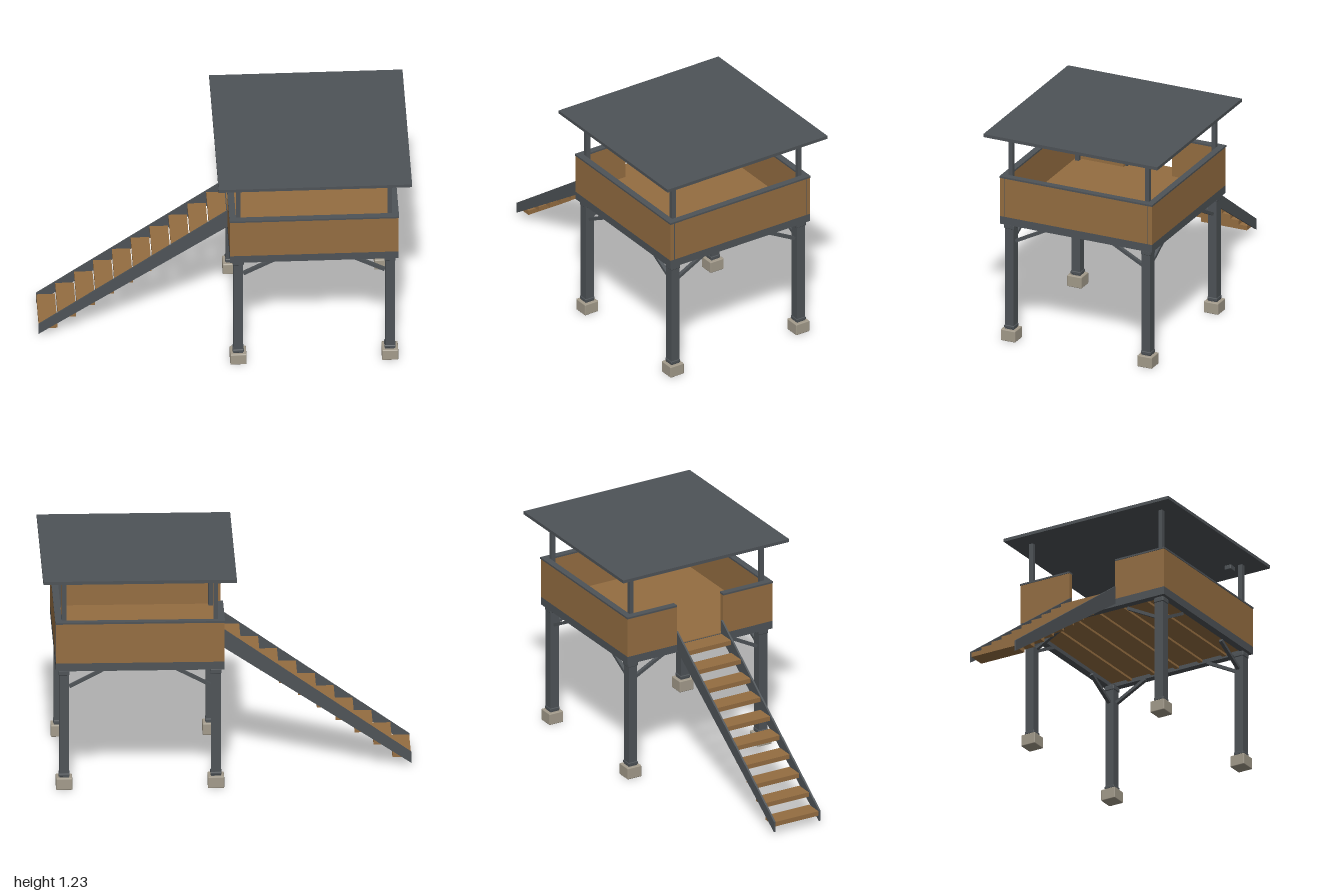
import * as THREE from 'three';
import { RoundedBoxGeometry } from 'three/addons/geometries/RoundedBoxGeometry.js';

export function createModel() {
  const model = new THREE.Group();
  model.name = 'lookoutPlatform';

  const mat = (name, color) => {
    const m = new THREE.MeshStandardMaterial({ color });
    m.name = name;
    return m;
  };
  const steel = mat('darkGrey', 0x4e5357);
  const wood = mat('brownWood', 0x946d41);
  const concrete = mat('concrete', 0xa39b8b);

  const add = (name, geometry, material, x, y, z, parent = model) => {
    const mesh = new THREE.Mesh(geometry, material);
    mesh.name = name;
    mesh.position.set(x, y, z);
    parent.add(mesh);
    return mesh;
  };
  // Box given by its lower and upper limits on each axis
  const box = (name, material, x0, x1, y0, y1, z0, z1, parent) =>
    add(name, new THREE.BoxGeometry(x1 - x0, y1 - y0, z1 - z0), material,
      (x0 + x1) / 2, (y0 + y1) / 2, (z0 + z1) / 2, parent);

  const cx = 0.475;      // platform centre
  const half = 0.455;    // platform half width
  const postOff = 0.41;  // post offset from the centre
  const x0 = cx - half, x1 = cx + half;

  // Corner legs: footing, post, collars, two knee braces and a roof post
  for (const sx of [-1, 1]) for (const sz of [-1, 1]) {
    const leg = new THREE.Group();
    leg.name = 'cornerLeg';
    leg.position.set(cx + sx * postOff, 0, sz * postOff);
    model.add(leg);
    add('footing', new RoundedBoxGeometry(0.088, 0.066, 0.088, 1, 0.005), concrete, 0, 0.033, 0, leg);
    box('post', steel, -0.026, 0.026, 0.06, 0.69, -0.026, 0.026, leg);
    add('lowerCollar', new RoundedBoxGeometry(0.06, 0.018, 0.06, 1, 0.004), steel, 0, 0.08, 0, leg);
    add('upperCollar', new RoundedBoxGeometry(0.06, 0.025, 0.06, 1, 0.004), steel, 0, 0.668, 0, leg);
    box('roofPost', steel, -0.012, 0.012, 0.72, 1.21, -0.012, 0.012, leg);

    const a = Math.atan2(0.1, 0.19);
    const braceGeo = new THREE.BoxGeometry(0.205, 0.017, 0.02);
    const bx = add('kneeBrace', braceGeo, steel, -sx * 0.12, 0.63, 0, leg);
    bx.rotation.z = -sx * a;
    const bz = add('kneeBrace', braceGeo, steel, 0, 0.63, -sz * 0.12, leg);
    bz.rotation.set(0, sz * Math.PI / 2, -a * 1);
    bz.rotation.order = 'YXZ';
    // Point the brace inward and upward along z
    bz.rotation.z = a;
  }

  // Perimeter beams
  const t = 0.04;
  for (const s of [-1, 1]) {
    const zo = s * (half - t / 2);
    box('sideBeam', steel, x0, x1, 0.685, 0.73, zo - t / 2, zo + t / 2);
    const xo = cx + s * (half - t / 2);
    box('endBeam', steel, xo - t / 2, xo + t / 2, 0.685, 0.73, -half + t, half - t);
  }

  // Floor with joists below
  box('floor', wood, x0 + 0.005, x1 - 0.005, 0.708, 0.734, -half + 0.005, half - 0.005);
  for (let i = 0; i < 5; i++) {
    const z = -0.3 + i * 0.15;
    box('joist', wood, x0 + t, x1 - t, 0.695, 0.71, z - 0.012, z + 0.012);
  }

  // Parapet panels with cap rails; the entry side has an opening
  const w = 0.024, top = 0.955, gate = 0.145;
  for (const s of [-1, 1]) {
    const zo = s * (half - w / 2);
    box('sideWall', wood, x0, x1, 0.73, top, zo - w / 2, zo + w / 2);
    const zc = s * (half - 0.015);
    box('sideCap', steel, x0 - 0.003, x1 + 0.003, top, 0.965, zc - 0.018, zc + 0.018);
    const za = s > 0 ? gate : -half + w, zb = s > 0 ? half - w : -gate;
    box('entryWall', wood, x0, x0 + w, 0.73, top, za, zb);
    const ca = s > 0 ? gate : -half + 0.033, cb = s > 0 ? half - 0.033 : -gate;
    box('entryCap', steel, x0 - 0.003, x0 + 0.033, top, 0.965, ca, cb);
    // Narrow dark joints at the corners of the far wall
    box('cornerJoint', steel, x1 - 0.004, x1 + 0.001, 0.73, top, s * 0.43 - 0.002, s * 0.43 + 0.002);
  }
  box('farWall', wood, x1 - w, x1, 0.73, top, -half + w, half - w);
  box('farCap', steel, x1 - 0.033, x1 + 0.003, top, 0.965, -half + 0.033, half - 0.033);

  // Flat roof
  box('roof', steel, -0.045, 1.0, 1.208, 1.226, -0.522, 0.522);

  // Small lamp box under the roof
  add('lampBox', new RoundedBoxGeometry(0.05, 0.027, 0.04, 1, 0.004), steel, 0.84, 1.181, 0.366);

  // Stair stringers
  const side = new THREE.Shape([
    new THREE.Vector2(-1, 0.018), new THREE.Vector2(x0 + 0.004, 0.703),
    new THREE.Vector2(x0 + 0.004, 0.808), new THREE.Vector2(-1, 0.08),
  ]);
  const sideGeo = new THREE.ExtrudeGeometry(side, { depth: 0.01, bevelEnabled: false });
  for (const z of [-0.146, 0.136]) add('stairStringer', sideGeo, steel, 0, 0, z);

  // Stair treads
  for (let i = 0; i < 10; i++) {
    const x = -0.998 + i * 0.102, y = 0.0625 + i * 0.0725;
    box('stairTread', wood, x, x + 0.1, y - 0.013, y + 0.013, -0.137, 0.137);
  }

  return model;
}
